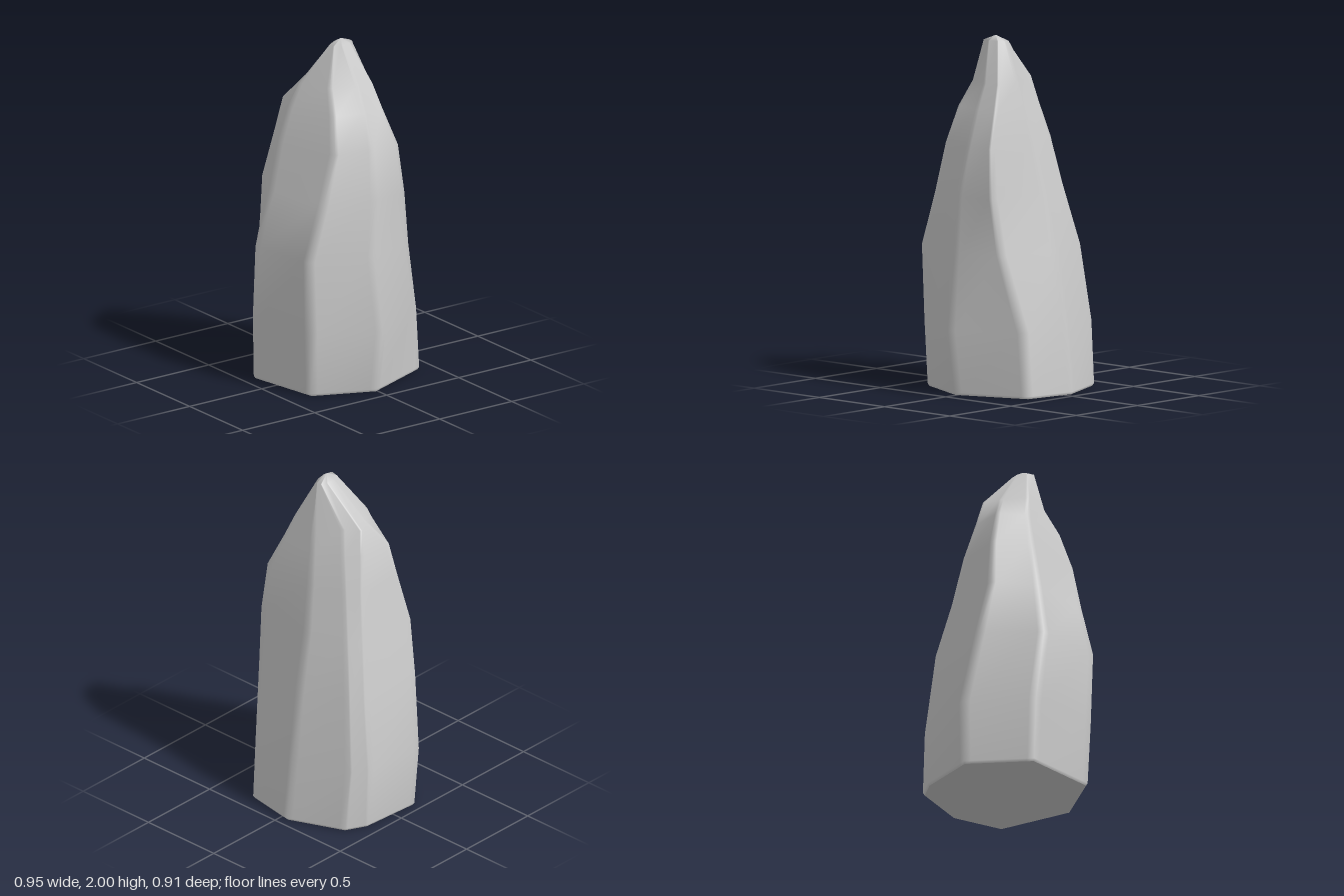
import * as THREE from 'three';

// Cross-sections of the rock: height, then eight corners as x, z pairs,
// running left, front, front right, right, back right, back, back left, left rear
const SECTIONS = [
  [0.015, -0.455, 0.155, -0.17, 0.43, 0.27, 0.355, 0.42, 0.01, 0.255, -0.405, -0.05, -0.455, -0.37, -0.32, -0.43, -0.2],
  [0.37, -0.475, 0.17, -0.165, 0.44, 0.28, 0.37, 0.475, 0.01, 0.26, -0.38, -0.05, -0.41, -0.38, -0.29, -0.44, -0.2],
  [0.8, -0.4, 0.22, -0.12, 0.455, 0.285, 0.385, 0.405, 0.02, 0.335, -0.27, -0.04, -0.34, -0.33, -0.25, -0.39, -0.18],
  [1.12, -0.335, 0.25, -0.1, 0.375, 0.285, 0.28, 0.395, 0, 0.36, -0.225, -0.03, -0.265, -0.26, -0.19, -0.32, -0.12],
  [1.4, -0.285, 0.2, -0.1, 0.315, 0.285, 0.2, 0.335, -0.02, 0.34, -0.195, 0, -0.205, -0.2, -0.14, -0.27, -0.08],
  [1.6, -0.235, 0.18, -0.08, 0.255, 0.22, 0.165, 0.265, -0.02, 0.255, -0.15, 0.03, -0.16, -0.15, -0.1, -0.225, -0.03],
  [1.74, -0.14, 0.09, -0.04, 0.21, 0.14, 0.13, 0.205, -0.02, 0.2, -0.12, 0.05, -0.13, -0.11, -0.06, -0.195, 0],
  [1.97, 0.03, 0.02, 0.06, 0.07, 0.105, 0.08, 0.12, 0.03, 0.11, -0.03, 0.085, -0.065, 0.055, -0.065, 0.035, -0.03],
];

// Adds a point close to each side of every corner, so edges shade softly and faces stay flat
function ring([y, ...xz]) {
  const corners = [];
  for (let i = 0; i < xz.length; i += 2) corners.push(new THREE.Vector3(xz[i], y, xz[i + 1]));
  const n = corners.length;
  return corners.flatMap((c, i) => [
    c.clone().lerp(corners[(i + n - 1) % n], 0.1),
    c,
    c.clone().lerp(corners[(i + 1) % n], 0.1),
  ]);
}

function makeGeometry(points, index) {
  const geometry = new THREE.BufferGeometry().setFromPoints(points);
  geometry.setIndex(index);
  geometry.computeVertexNormals();
  return geometry;
}

export function createModel() {
  const group = new THREE.Group();
  group.name = 'rock';
  const material = new THREE.MeshStandardMaterial({ color: 0xcccccc });

  // Tapering sides, starting from a slightly drawn-in bottom edge
  const rings = SECTIONS.map(ring);
  const bottom = rings[0].map((p) => new THREE.Vector3(p.x * 0.98, 0, p.z * 0.98));
  rings.unshift(bottom);
  const n = bottom.length;
  const index = [];
  for (let j = 0; j < rings.length - 1; j++) {
    for (let i = 0; i < n; i++) {
      const a = j * n + i;
      const b = j * n + ((i + 1) % n);
      index.push(a, b, b + n, a, b + n, a + n);
    }
  }

  // Fan closing the peak
  const points = rings.flat();
  const last = (rings.length - 1) * n;
  const apex = points.length;
  points.push(new THREE.Vector3(0.08, 2, 0.01));
  for (let i = 0; i < n; i++) index.push(last + i, last + ((i + 1) % n), apex);
  const body = new THREE.Mesh(makeGeometry(points, index), material);
  body.name = 'rockBody';
  group.add(body);

  // Flat underside
  const baseIndex = [];
  for (let i = 0; i < n; i++) baseIndex.push(n, (i + 1) % n, i);
  const base = new THREE.Mesh(makeGeometry([...bottom, new THREE.Vector3()], baseIndex), material);
  base.name = 'rockBase';
  group.add(base);

  return group;
}
